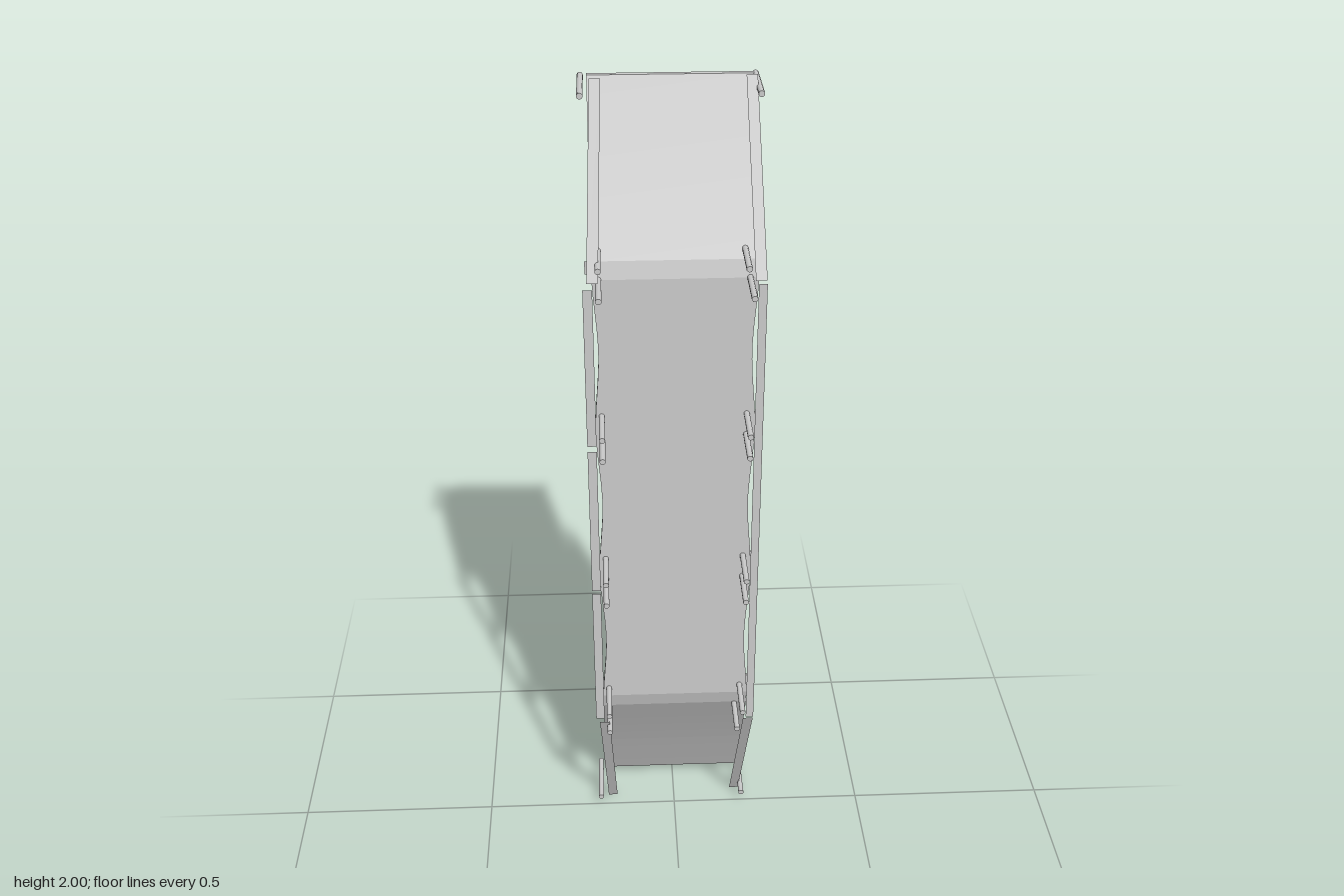
import * as THREE from 'three';

const mat = new THREE.MeshStandardMaterial({ color: 0xcccccc, side: THREE.DoubleSide, flatShading: true });
const smooth = new THREE.MeshStandardMaterial({ color: 0xcccccc, side: THREE.DoubleSide });

export function createModel() {
  const group = new THREE.Group();
  const add = (name, geometry, x = 0, y = 0, z = 0, material = mat) => {
    const mesh = new THREE.Mesh(geometry, material);
    mesh.name = name;
    mesh.position.set(x, y, z);
    group.add(mesh);
    return mesh;
  };

  // Thin four-cornered sheet, corners counter-clockwise from its front
  const sheet = (name, corners) => {
    const g = new THREE.BufferGeometry();
    g.setAttribute('position', new THREE.Float32BufferAttribute(corners.flat(), 3));
    g.setIndex([0, 1, 2, 0, 2, 3]);
    g.computeVertexNormals();
    return add(name, g);
  };

  // Deck: three gently waisted middle spans and a backward-sloping ramp at each end
  const deck = new THREE.BoxGeometry(0.37, 1.96, 0.014, 1, 49, 1);
  const p = deck.attributes.position;
  for (let i = 0; i < p.count; i++) {
    const t = Math.abs(p.getY(i));               // distance from the middle
    const ramp = Math.max(0, t - 0.6) / 0.38;    // 0 at the ramp foot, 1 at its end
    const bulge = t < 0.6 ? Math.pow(Math.sin((t + 0.2) / 0.4 * Math.PI), 2) : 0;
    p.setX(i, p.getX(i) * (1 - 0.06 * bulge));
    p.setZ(i, p.getZ(i) + 0.046 - 0.18 * ramp - 0.005 * Math.sin(ramp * Math.PI));
  }
  deck.computeVertexNormals();
  add('deck', deck, 0, 1, 0);

  // Side walls behind the deck, with narrow strips at both ends
  const walls = [[0.385, 0.41], [0.435, 0.78], [0.835, 1.18], [1.23, 1.575], [1.6, 1.625]];
  for (const x of [-0.163, 0.163]) {
    for (const [a, b] of walls) {
      sheet('sideWall', [[x, a, 0.04], [x, a, -0.166], [x, b, -0.166], [x, b, 0.04]]);
    }
  }

  // Three-sided cross beams in the gaps between walls
  for (const y of [0.422, 0.81, 1.205, 1.59]) {
    const beam = new THREE.CylinderGeometry(0.018, 0.018, 0.4, 3);
    beam.rotateY(Math.PI);                       // point of the section to the back
    beam.rotateZ(Math.PI / 2);
    add('crossBeam', beam, 0, y, -0.002);
  }

  // Railing posts
  const post = (x, y, z0, z1) => {
    const g = new THREE.CylinderGeometry(0.007, 0.007, z1 - z0, 10);
    g.rotateX(Math.PI / 2);
    add('railingPost', g, x, y, (z0 + z1) / 2, smooth);
  };
  for (const [side, xMid, xFoot, xEnd] of [[-1, 0.17, 0.17, 0.199], [1, 0.165, 0.154, 0.183]]) {
    for (const y of [0.445, 0.785, 0.845, 1.185, 1.24, 1.58]) post(side * xMid, y, 0.04, 0.168);
    for (const y of [0.375, 1.64]) post(side * xFoot, y, 0.03, 0.147);
    for (const y of [0.03, 1.975]) post(side * xEnd, y, -0.145, 0.006);
  }

  // Flat rails over the middle spans
  for (const [x0, x1] of [[-0.204, -0.183], [0.176, 0.195]]) {
    for (const y of [0.605, 1, 1.4]) {
      const h = x0 > 0 ? 0.2 : 0.193;
      sheet('rail', [[x0, y - h, 0.135], [x1, y - h, 0.135], [x1, y + h, 0.135], [x0, y + h, 0.135]]);
    }
  }

  // Flat rails along the ramps, leaning inward and back
  for (const side of [-1, 1]) {
    for (const up of [-1, 1]) {
      const y0 = 1 + up * 0.605, y1 = 1 + up;
      const zEnd = side < 0 ? -0.035 : -0.05;
      const corners = [[side * 0.195, y0, 0.128], [side * 0.17, y0, 0.128],
        [side * 0.155, y1, zEnd], [side * 0.179, y1, zEnd]];
      sheet('rampRail', side * up < 0 ? corners : corners.reverse());
    }
  }
  return group;
}
